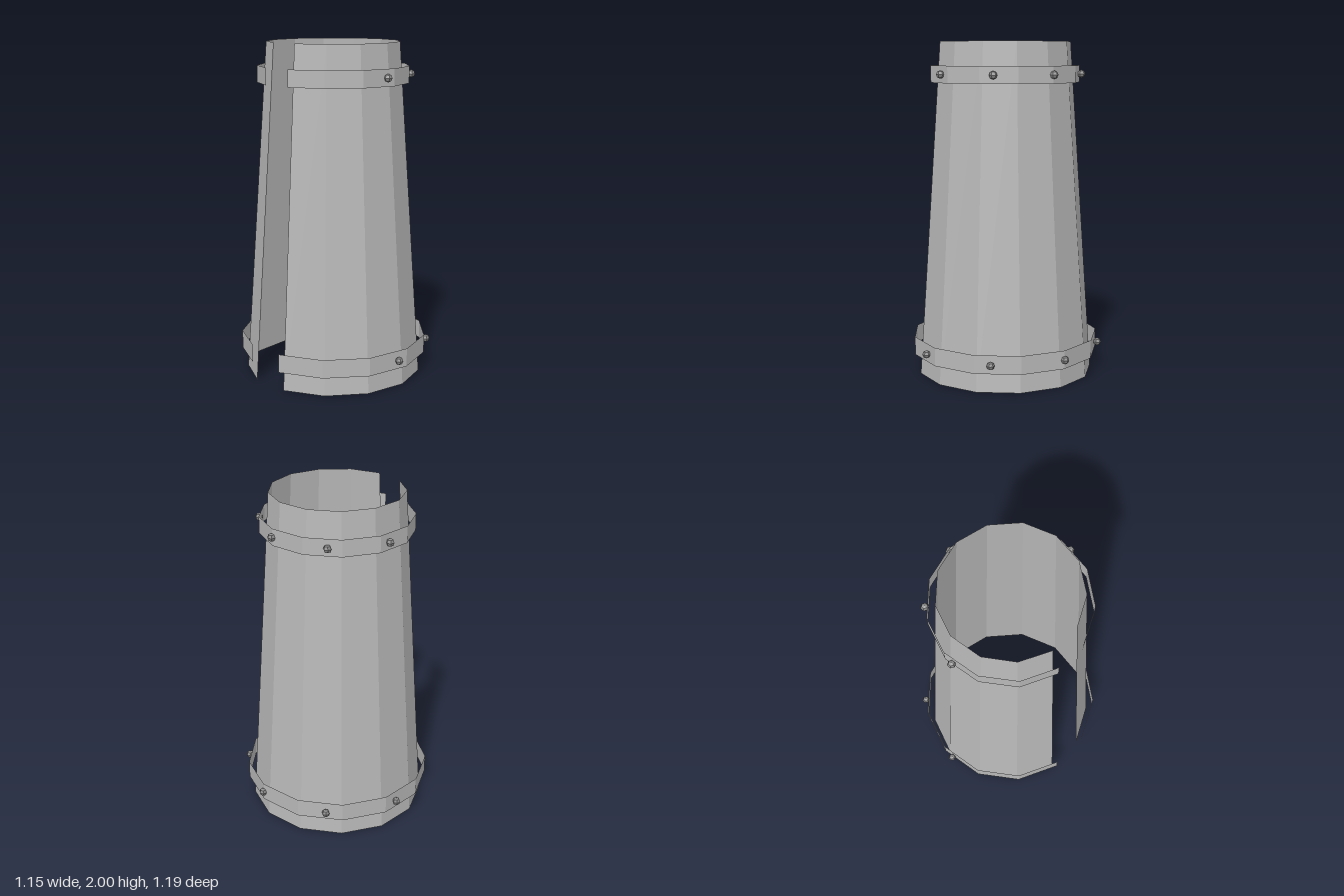
import * as THREE from 'three';

export function createModel() {
  const group = new THREE.Group();
  const sheet = new THREE.MeshStandardMaterial({ name: 'sheet metal', color: 0xb8b8b8, flatShading: true, side: THREE.DoubleSide });
  const rivetMetal = new THREE.MeshStandardMaterial({ name: 'rivet metal', color: 0x8c8c8c, flatShading: true });
  const rad = THREE.MathUtils.degToRad;
  const cx = -0.021; // axis of the sleeve, offset because of the gap at -x

  // Open faceted sleeve, symmetric about +x, with a gap on the -x side
  function sleeve(name, rTop, rBottom, y0, y1, halfAngle) {
    const geo = new THREE.CylinderGeometry(rTop, rBottom, y1 - y0, 12, 1, true, rad(90 - halfAngle), rad(2 * halfAngle));
    const mesh = new THREE.Mesh(geo, sheet);
    mesh.name = name;
    mesh.position.set(cx, (y0 + y1) / 2, 0);
    group.add(mesh);
  }

  sleeve('taperedShell', 0.395, 0.533, 0, 2, 167);

  // Straight bands, each with five rivets
  const rivetGeo = new THREE.SphereGeometry(0.024, 6, 4);
  const bands = [
    { name: 'lower', r: 0.565, y0: 0.12, y1: 0.23, rivetR: 0.572, rivetY: 0.175 },
    { name: 'upper', r: 0.451, y0: 1.76, y1: 1.86, rivetR: 0.457, rivetY: 1.81 },
  ];
  for (const b of bands) {
    sleeve(b.name + 'Band', b.r, b.r, b.y0, b.y1, 168);
    for (let i = -2; i <= 2; i++) {
      const a = rad(45.8 * i);
      const rivet = new THREE.Mesh(rivetGeo, rivetMetal);
      rivet.name = b.name + 'Rivet' + (i + 3);
      rivet.position.set(cx + b.rivetR * Math.cos(a), b.rivetY, b.rivetR * Math.sin(a));
      group.add(rivet);
    }
  }
  return group;
}
